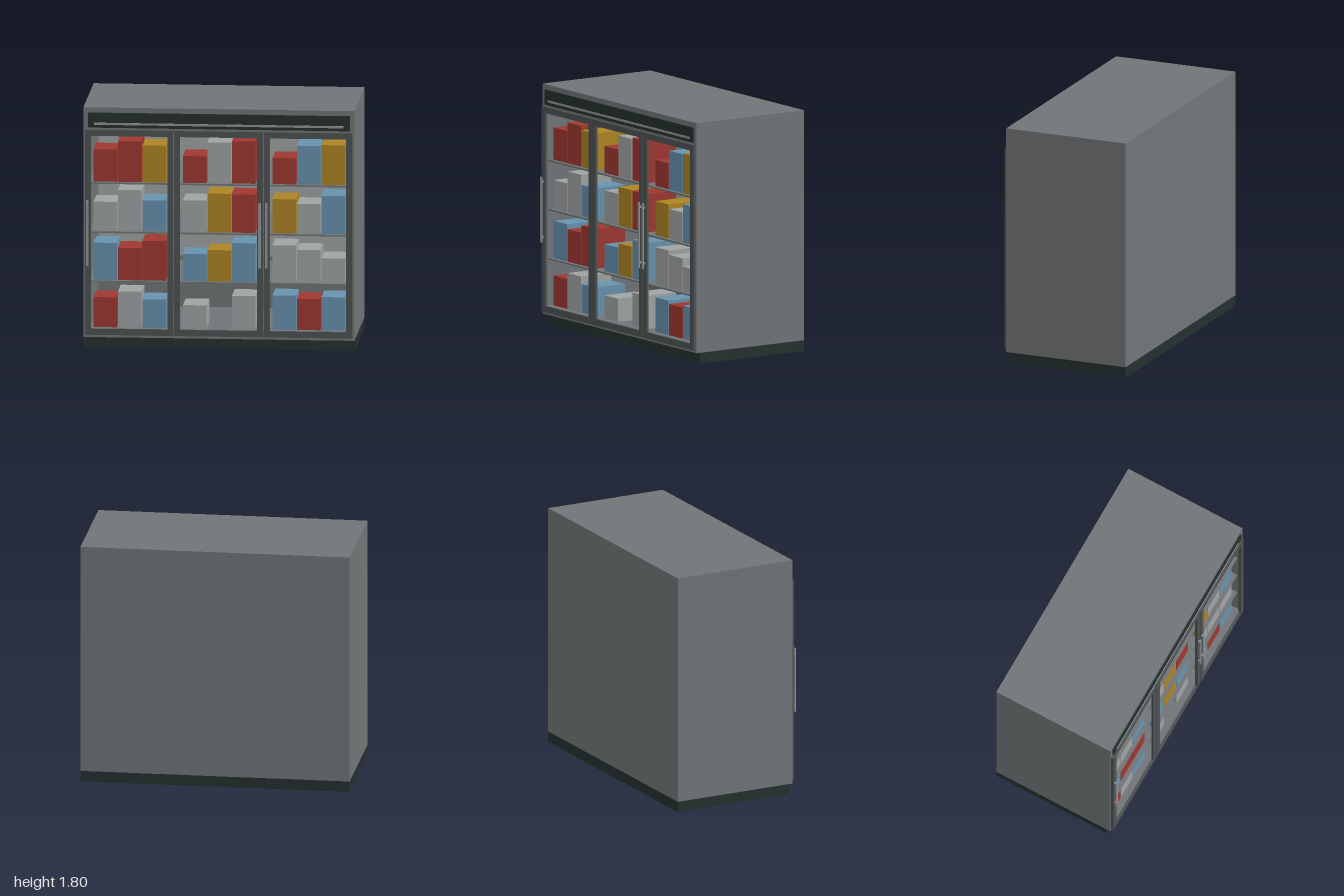
import * as THREE from 'three';

const mat = (name, color) => {
  const m = new THREE.MeshStandardMaterial({ color });
  m.name = name;
  return m;
};

export function createModel() {
  const steel = mat('cabinet grey', 0x717577);
  const frame = mat('door frame grey', 0x4e5253);
  const dark = mat('dark trim', 0x24302f);
  const metal = mat('handle metal', 0x8f9395);
  const light = mat('light grey', 0xa0a3a5);
  const red = mat('red', 0x9f3731);
  const blue = mat('blue', 0x6792ae);
  const yellow = mat('yellow', 0xae8424);

  const root = new THREE.Group();
  root.name = 'displayFridge';

  // Box given by its extents along each axis
  const box = (name, m, [x0, x1], [y0, y1], [z0, z1], parent = root) => {
    const mesh = new THREE.Mesh(new THREE.BoxGeometry(x1 - x0, y1 - y0, z1 - z0), m);
    mesh.position.set((x0 + x1) / 2, (y0 + y1) / 2, (z0 + z1) / 2);
    mesh.name = name;
    parent.add(mesh);
    return mesh;
  };

  // Hollow cabinet
  const depth = [-0.5, 0.46];
  box('cabinetTop', steel, [-1, 1], [1.62, 1.8], depth);
  box('cabinetFloor', steel, [-1, 1], [0.08, 0.145], depth);
  box('cabinetBack', steel, [-0.96, 0.96], [0.145, 1.62], [-0.5, -0.46]);
  for (const s of [-1, 1]) {
    box('cabinetSide', steel, s < 0 ? [-1, -0.96] : [0.96, 1], [0.145, 1.62], depth);
  }
  box('backLiner', light, [-0.96, 0.96], [0.53, 1.62], [-0.46, -0.452]);

  // Plinth ring, open underneath
  box('plinthFront', dark, [-1, 1], [0, 0.08], [0.38, 0.43]);
  box('plinthBack', dark, [-1, 1], [0, 0.08], [-0.5, -0.45]);
  box('plinthLeft', dark, [0.95, 1], [0, 0.08], [-0.45, 0.38]);
  box('plinthRight', dark, [-1, -0.95], [0, 0.08], [-0.45, 0.38]);

  // Header panel with a pale strip
  box('headerPanel', dark, [-0.967, 0.967], [1.65, 1.762], [0.46, 0.469]);
  box('headerStrip', metal, [-0.92, 0.92], [1.672, 1.688], [0.469, 0.473]);

  // Shelves
  for (const y of [0.5, 0.868, 1.236]) {
    box('shelf', steel, [-0.96, 0.96], [y - 0.012, y], [-0.452, 0.44]);
  }

  // Door frames
  const doorShape = (x0, x1) => {
    const rect = (target, a, b, c, d) =>
      target.moveTo(a, c).lineTo(b, c).lineTo(b, d).lineTo(a, d).closePath();
    const shape = rect(new THREE.Shape(), x0, x1, 0.1, 1.635);
    shape.holes.push(rect(new THREE.Path(), x0 + 0.044, x1 - 0.044, 0.146, 1.59));
    return shape;
  };
  for (const [x0, x1] of [[-0.988, -0.334], [-0.329, 0.327], [0.332, 0.986]]) {
    const geo = new THREE.ExtrudeGeometry(doorShape(x0, x1), { depth: 0.018, bevelEnabled: false });
    const door = new THREE.Mesh(geo, frame);
    door.position.z = 0.461;
    door.name = 'doorFrame';
    root.add(door);
  }

  // Pull handles on two mounts each
  for (const x of [-0.968, 0.302, 0.353]) {
    const handle = new THREE.Group();
    handle.name = 'handle';
    root.add(handle);
    box('handleBar', metal, [x - 0.01, x + 0.01], [0.62, 1.11], [0.492, 0.5], handle);
    for (const y of [0.66, 1.075]) {
      box('handleMount', metal, [x - 0.008, x + 0.008], [y - 0.009, y + 0.009], [0.478, 0.493], handle);
    }
  }

  // Packages: colour and height for each of nine columns, row by row
  const colours = { R: red, B: blue, Y: yellow, W: light };
  const rows = [
    [1.236, 'RRYRWRRBY', [0.24, 0.305, 0.275, 0.2, 0.305, 0.315, 0.195, 0.29, 0.297]],
    [0.868, 'WWBWYRYWB', [0.217, 0.307, 0.232, 0.237, 0.29, 0.286, 0.255, 0.222, 0.285]],
    [0.5, 'BRRBYBWWW', [0.278, 0.242, 0.297, 0.203, 0.235, 0.29, 0.278, 0.247, 0.186]],
    [0.146, 'RWBW-WBRB', [0.224, 0.269, 0.213, 0.174, 0, 0.249, 0.257, 0.233, 0.249]],
  ];
  for (const [y, code, heights] of rows) {
    heights.forEach((h, i) => {
      if (!h) return;
      const x = [-0.662, -0.002, 0.659][Math.floor(i / 3)] + ((i % 3) - 1) * 0.181;
      box('package', colours[code[i]], [x - 0.087, x + 0.087], [y, y + h], [0.14, 0.41]);
    });
  }
  return root;
}
